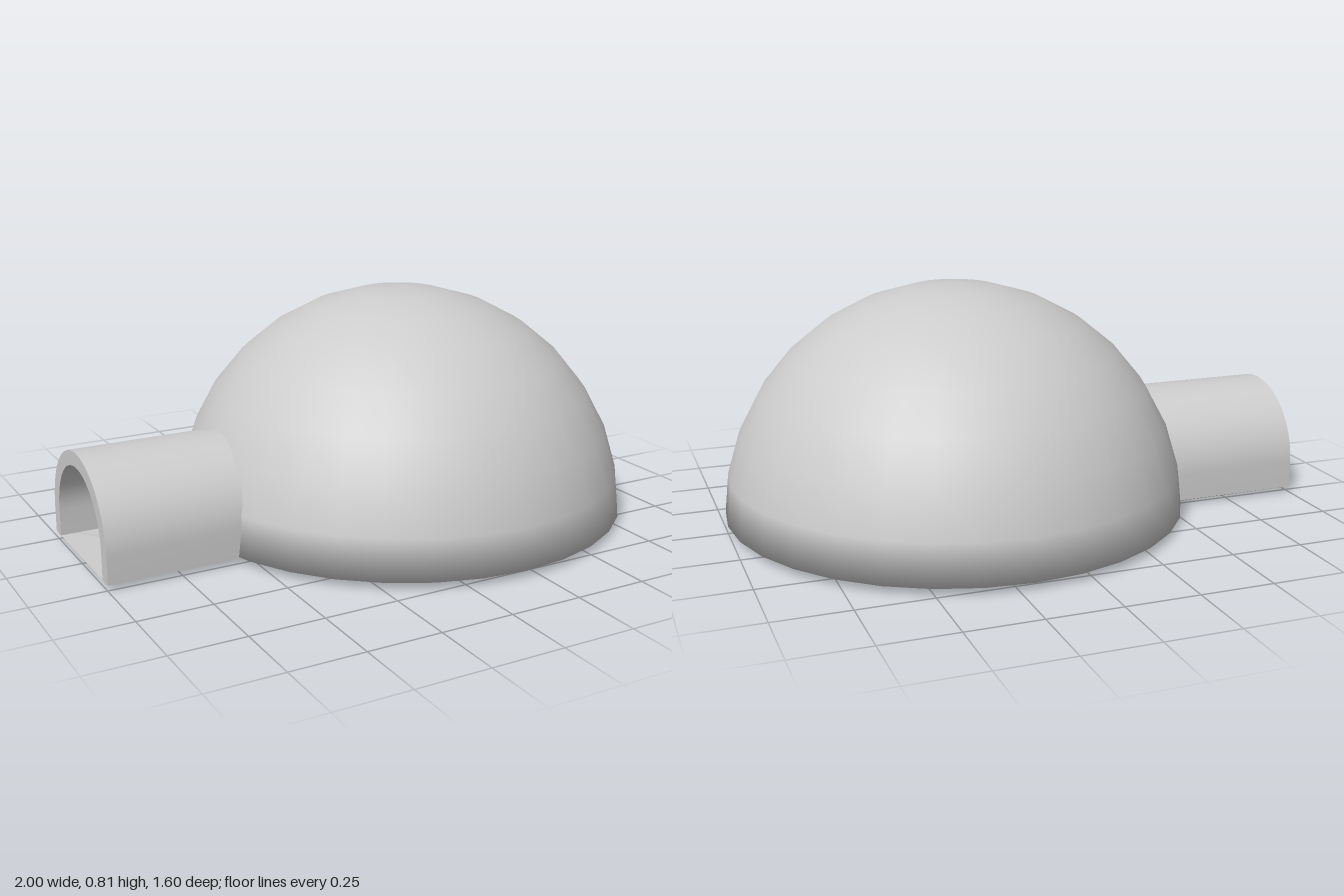
import * as THREE from 'three';
import { toCreasedNormals } from 'three/addons/utils/BufferGeometryUtils.js';

const snow = new THREE.MeshStandardMaterial({ color: 0xcccccc, side: THREE.DoubleSide });
snow.name = 'snow';

const SEGMENTS = 32, RADIUS = 0.8, DOME_X = 0.2, TUNNEL_Z = -0.01;

function part(name, geometry) {
  const mesh = new THREE.Mesh(geometry, snow);
  mesh.name = name;
  return mesh;
}

// Hollow dome with a turned-in rim and a doorway on its -x side
function domeGeometry() {
  const profile = [new THREE.Vector2(0.6, 0), new THREE.Vector2(RADIUS, 0.025)];
  for (let i = 1; i <= 8; i++) {
    const a = (i * Math.PI) / 16;
    profile.push(new THREE.Vector2(i === 8 ? 0 : RADIUS * Math.cos(a), 0.007 + RADIUS * Math.sin(a)));
  }
  const geometry = new THREE.LatheGeometry(profile, SEGMENTS);
  const rings = profile.length - 1;
  // Upright normals at the pole
  for (let i = 0; i <= SEGMENTS; i++) geometry.attributes.normal.setXYZ(i * profile.length + rings, 0, 1, 0);
  // Leave out the two columns of faces behind the tunnel
  const source = geometry.index.array, kept = [];
  for (let s = 0; s < SEGMENTS; s++) {
    for (let r = 0; r < rings; r++) {
      if (r < 3 && (s === 23 || s === 24)) continue;
      const start = (s * rings + r) * 6;
      kept.push(...source.slice(start, start + 6));
    }
  }
  geometry.setIndex(kept);
  return geometry;
}

// Thick arched wall, open at the bottom
function tunnelGeometry() {
  const outer = 0.265, inner = 0.215, base = 0.02, spring = 0.112;
  const shape = new THREE.Shape();
  shape.moveTo(outer, base);
  shape.lineTo(outer, spring);
  shape.absarc(0, spring, outer, 0, Math.PI, false);
  shape.lineTo(-outer, base);
  shape.lineTo(-inner, base);
  shape.lineTo(-inner, spring);
  shape.absarc(0, spring, inner, Math.PI, 0, true);
  shape.lineTo(inner, base);
  shape.closePath();
  const geometry = new THREE.ExtrudeGeometry(shape, { depth: 0.5, bevelEnabled: false, curveSegments: 16 });
  geometry.rotateY(-Math.PI / 2);
  geometry.translate(-0.5, 0, TUNNEL_Z);
  return toCreasedNormals(geometry, 0.6);
}

// One floor sheet under dome and tunnel, rising slightly below the tunnel
function floorGeometry() {
  const left = TUNNEL_Z - 0.265, right = TUNNEL_Z + 0.265;
  const points = [new THREE.Vector2(-1, left), new THREE.Vector2(-0.55, left)];
  for (let i = -14; i <= 14; i++) {
    const a = (i * Math.PI) / 16;
    points.push(new THREE.Vector2(DOME_X + 0.6 * Math.cos(a), 0.6 * Math.sin(a)));
  }
  points.push(new THREE.Vector2(-0.55, right), new THREE.Vector2(-1, right));
  const geometry = new THREE.ShapeGeometry(new THREE.Shape(points)).rotateX(Math.PI / 2).toNonIndexed();
  const p = geometry.attributes.position;
  for (let i = 0; i < p.count; i++) p.setY(i, p.getX(i) < -0.5 ? 0.02 : 0);
  geometry.computeVertexNormals();
  return geometry;
}

export function createModel() {
  const group = new THREE.Group();
  group.name = 'snowHouse';
  const dome = part('dome', domeGeometry());
  dome.position.x = DOME_X;
  group.add(dome, part('entranceTunnel', tunnelGeometry()), part('floor', floorGeometry()));
  return group;
}
